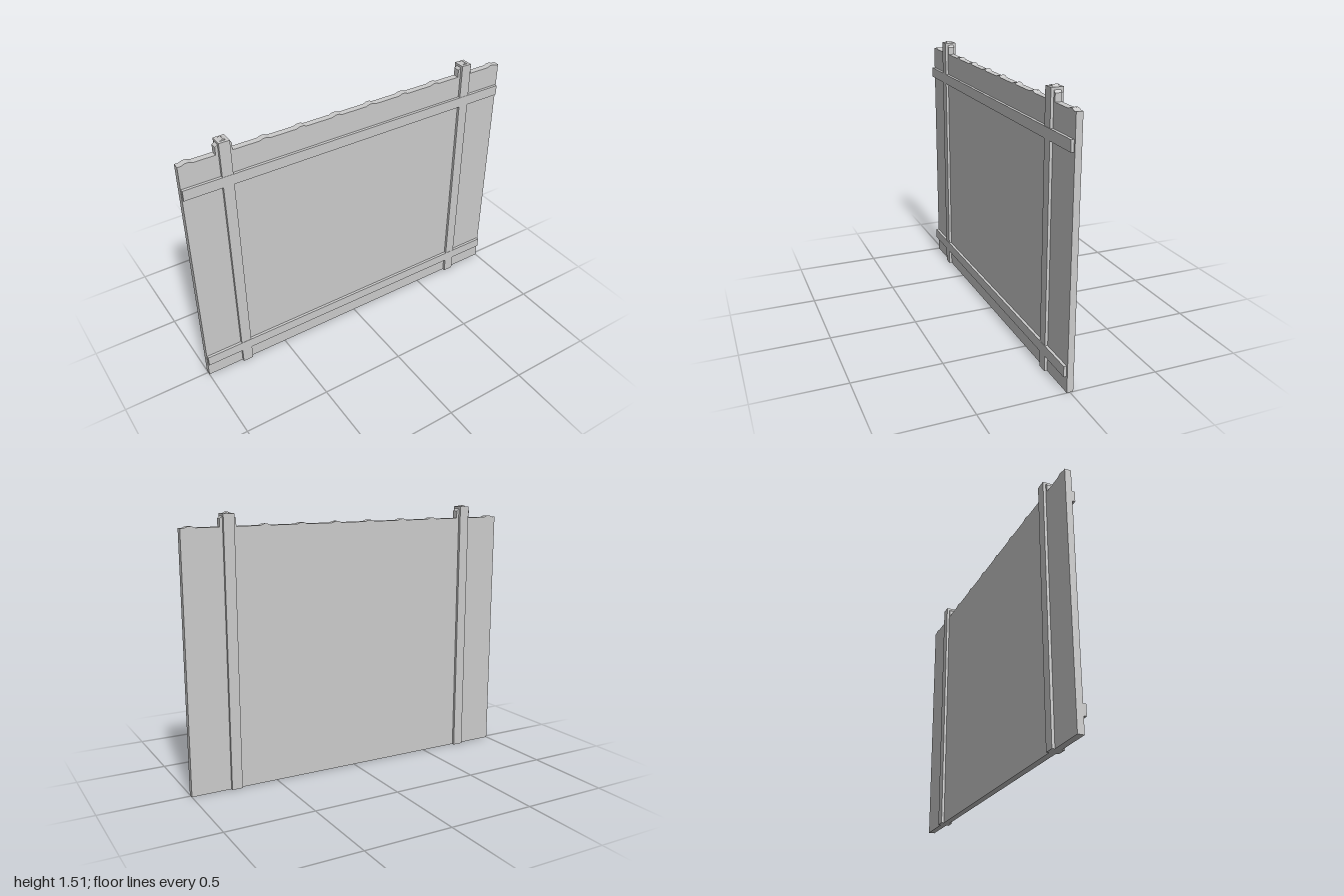
import * as THREE from 'three';

export function createModel() {
  const group = new THREE.Group();
  group.name = 'fencePanel';
  const material = new THREE.MeshStandardMaterial({ color: 0xcccccc, flatShading: true });

  const add = (name, geometry, x, y, z) => {
    const mesh = new THREE.Mesh(geometry, material);
    mesh.name = name;
    mesh.position.set(x, y, z);
    group.add(mesh);
  };

  // Thin board: low ridges along the top edge, raised tabs where the posts stand
  const top = 1.435;
  const ridge = [[-0.03, 0], [-0.01, 0.008], [0.01, 0.008], [0.03, 0]];
  const tab = [[-0.045, 0], [-0.045, 0.043], [-0.03, 0.055], [-0.018, 0.068], [0, 0.077],
    [0.018, 0.068], [0.03, 0.055], [0.045, 0.043], [0.045, 0]];
  const posts = [-0.755, 0.745];
  const features = [
    [-0.95, ridge], [posts[0], tab],
    ...[-0.53, -0.32, -0.105, 0.107, 0.32, 0.535].map((x) => [x, ridge]),
    [posts[1], tab], [0.95, ridge],
  ];
  const outline = [[-1, 0], [-1, top]];
  for (const [cx, profile] of features) {
    for (const [dx, dy] of profile) outline.push([cx + dx, top + dy]);
  }
  outline.push([1, top], [1, 0]);
  const shape = new THREE.Shape(outline.map(([x, y]) => new THREE.Vector2(x, y)));
  const board = new THREE.ExtrudeGeometry(shape, { depth: 0.036, bevelEnabled: false });
  add('board', board, 0, 0, -0.018);

  // Square posts running through the board
  for (const x of posts) {
    add('post', new THREE.BoxGeometry(0.06, 1.503, 0.067), x, 0.7515, 0);
  }

  // Horizontal rails on the front
  for (const y of [0.12, 1.277]) {
    add('rail', new THREE.BoxGeometry(1.99, 0.06, 0.016), -0.003, y, 0.027);
  }

  return group;
}
